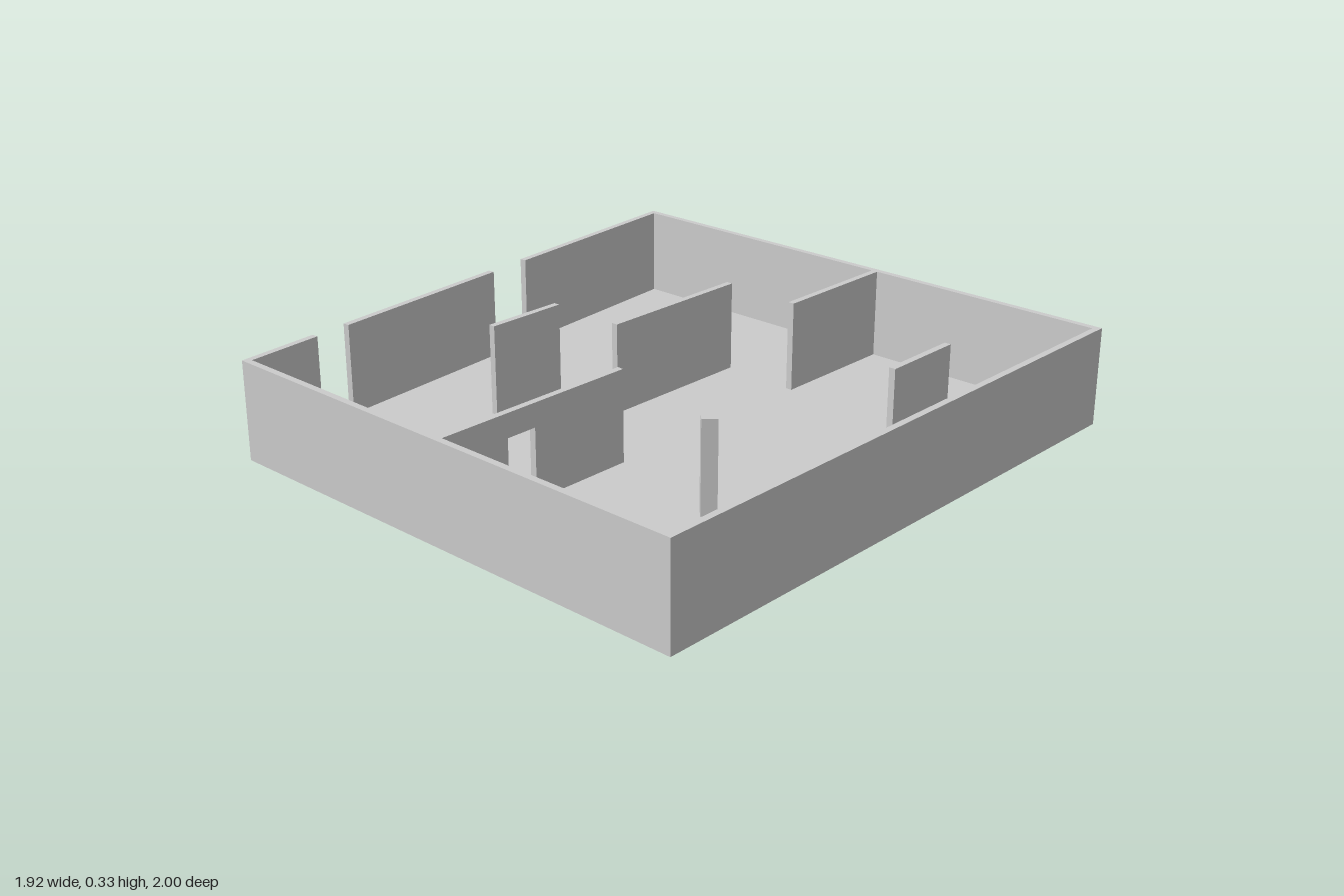
import * as THREE from 'three';

const HEIGHT = 0.326, FLOOR = 0.024, WALL = 0.022, RIGHT = 0.962;

// x of the slanted wall's outer face at depth z
const slant = (z) => -0.87 + 0.0925 * z;

export function createModel() {
  const group = new THREE.Group();
  const material = new THREE.MeshStandardMaterial({ color: 0xcccccc, flatShading: true });

  const add = (name, geometry) => {
    const mesh = new THREE.Mesh(geometry, material);
    mesh.name = name;
    group.add(mesh);
  };
  const extrude = (points, depth) => new THREE.ExtrudeGeometry(
    new THREE.Shape(points.map(([a, b]) => new THREE.Vector2(a, b))),
    { depth, bevelEnabled: false });

  // Upright prism over a plan outline of [x, z] points
  const prism = (name, plan, y0 = FLOOR, y1 = HEIGHT) =>
    add(name, extrude(plan, y1 - y0).rotateX(Math.PI / 2).translate(0, y1, 0));

  // Straight wall running along z
  const wall = (name, x, z0, z1) => {
    const a = x - WALL / 2, b = x + WALL / 2;
    prism(name, [[a, z0], [b, z0], [b, z1], [a, z1]]);
  };

  // Floor slab
  prism('floor', [[slant(-1), -1], [RIGHT, -1], [RIGHT, 1], [slant(1), 1]], 0, FLOOR);

  // Outer wall: a continuous band whose ends return along the slanted side
  const inner = 1 - WALL;
  prism('outerWall', [
    [slant(-0.245), -0.245], [slant(-1), -1], [RIGHT, -1], [RIGHT, 1], [slant(1), 1],
    [slant(0.72), 0.72], [slant(0.72) + WALL, 0.718], [slant(inner) + WALL, inner],
    [RIGHT - WALL, inner], [RIGHT - WALL, -inner], [slant(-inner) + WALL, -inner],
    [slant(-0.245) + WALL, -0.247],
  ]);

  // Slanted wall section between the two openings
  prism('slantedWall', [
    [slant(-0.083), -0.083], [slant(0.59), 0.59],
    [slant(0.59) + WALL, 0.588], [slant(-0.083) + WALL, -0.085],
  ]);

  // Free-standing inner walls
  wall('backDivider', 0.095, -inner, -0.525);
  wall('centrePartition', -0.187, -0.545, 0.01);
  wall('sidePartition', -0.458, 0, 0.285);
  wall('rightPartition', 0.686, -0.557, -0.27);

  // Front divider with a doorway, drawn as a side profile of [-z, y]
  add('frontDivider', extrude([
    [-0.275, FLOOR], [-0.275, HEIGHT], [-inner, HEIGHT], [-inner, FLOOR],
    [-0.74, FLOOR], [-0.74, 0.25], [-0.635, 0.25], [-0.635, FLOOR],
  ], WALL).rotateY(Math.PI / 2).translate(0.095 - WALL / 2, 0, 0));

  // Square column turned on its corner
  const r = 0.034;
  prism('column', [[0.53 - r, 0.37], [0.53, 0.37 - r], [0.53 + r, 0.37], [0.53, 0.37 + r]]);

  return group;
}
